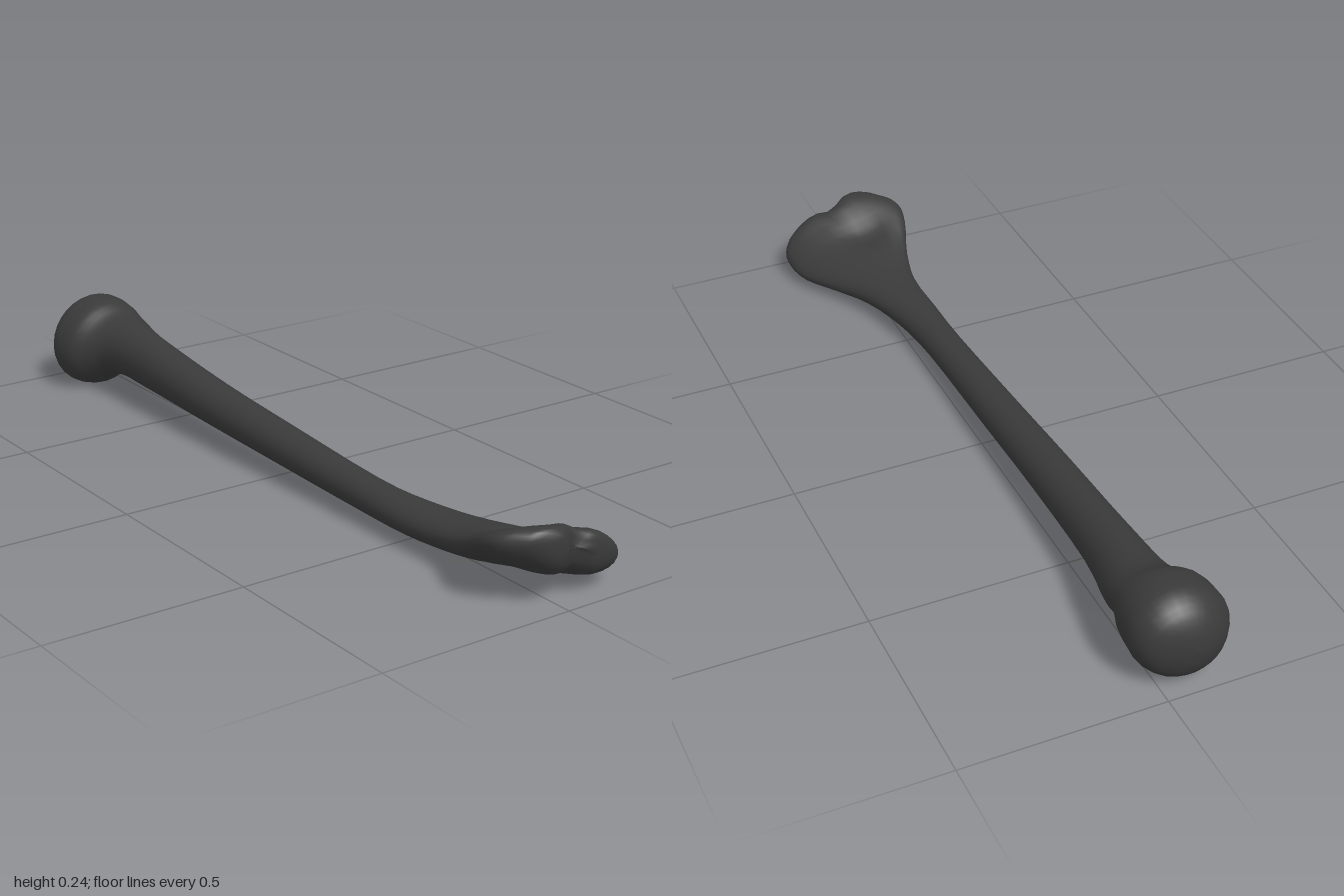
import * as THREE from 'three';

// Cross-sections along the bone: z, centre x, centre y, half width, half height, tilt (radians)
const SECTIONS = [
  [-1.0, -0.065, 0.122, 0.0, 0.0, 0.7],
  [-0.993, -0.062, 0.122, 0.05, 0.045, 0.7],
  [-0.97, -0.057, 0.123, 0.098, 0.088, 0.7],
  [-0.93, -0.061, 0.123, 0.125, 0.113, 0.7],
  [-0.89, -0.063, 0.123, 0.13, 0.114, 0.7],
  [-0.845, -0.06, 0.125, 0.121, 0.108, 0.7],
  [-0.805, -0.05, 0.13, 0.1, 0.084, 0.6],
  [-0.75, -0.039, 0.131, 0.08, 0.077, 0.4],
  [-0.6, -0.047, 0.123, 0.063, 0.07, 0],
  [-0.3, -0.052, 0.103, 0.057, 0.057, 0],
  [0.0, -0.05, 0.085, 0.052, 0.05, 0],
  [0.35, -0.047, 0.066, 0.047, 0.043, 0],
  [0.52, -0.038, 0.062, 0.057, 0.042, 0],
  [0.66, -0.016, 0.064, 0.076, 0.043, -0.12],
  [0.76, 0.003, 0.073, 0.115, 0.045, -0.25],
  [0.85, 0.013, 0.092, 0.162, 0.048, -0.35],
  [0.91, 0.02, 0.107, 0.174, 0.055, -0.36],
  [0.953, 0.034, 0.119, 0.155, 0.058, -0.36],
  [0.978, 0.03, 0.132, 0.112, 0.042, -0.36],
  [0.988, 0.02, 0.138, 0.0, 0.0, -0.36],
];

const bump = (v, centre, width) => Math.exp(-(((v - centre) / width) ** 2));

function boneGeometry(sides = 28, perSection = 3) {
  const curve = (f) => new THREE.CatmullRomCurve3(SECTIONS.map(f), false, 'catmullrom', 0.5);
  const axis = curve(([z, x, y]) => new THREE.Vector3(x, y, z));
  const size = curve(([, , , a, b, t]) => new THREE.Vector3(a, b, t));
  const rings = (SECTIONS.length - 1) * perSection;
  const pos = [], index = [];

  for (let i = 0; i <= rings; i++) {
    const c = axis.getPoint(i / rings), s = size.getPoint(i / rings);
    const cos = Math.cos(s.z), sin = Math.sin(s.z);
    for (let j = 0; j < sides; j++) {
      const angle = (j / sides) * Math.PI * 2;
      const u = Math.max(s.x, 0) * Math.cos(angle);
      const v = Math.max(s.y, 0) * Math.sin(angle);
      const x = c.x + u * cos - v * sin;
      let y = c.y + u * sin + v * cos, z = c.z;
      // Hollow on top just behind the condyles
      if (Math.sin(angle) > 0) y -= 0.028 * Math.sin(angle) * bump(x, -0.03, 0.06) * bump(z, 0.85, 0.05);
      // Two rounded condyles with a groove between them
      const tip = THREE.MathUtils.smoothstep(z, 0.87, 0.97);
      z += tip * (0.012 * bump(x, -0.03, 0.035) - 0.016 * bump(x, 0.035, 0.025));
      y -= tip * 0.012 * Math.sin(angle) * bump(x, 0.05, 0.03);
      pos.push(x, y, z);
    }
  }
  for (let i = 0; i < rings; i++) {
    for (let j = 0; j < sides; j++) {
      const k = (j + 1) % sides;
      const a = i * sides + j, b = i * sides + k, c = a + sides, d = b + sides;
      index.push(a, b, c, b, d, c);
    }
  }
  const geometry = new THREE.BufferGeometry();
  geometry.setAttribute('position', new THREE.Float32BufferAttribute(pos, 3));
  geometry.setIndex(index);
  geometry.computeVertexNormals();
  return geometry;
}

export function createModel() {
  const group = new THREE.Group();
  group.name = 'upperArmBone';
  // Shaft with its ball head and flared, curled-up lower end in one surface
  const bone = new THREE.Mesh(boneGeometry(), new THREE.MeshStandardMaterial({ color: 0x3a3a3a }));
  bone.name = 'bone';
  group.add(bone);
  return group;
}
